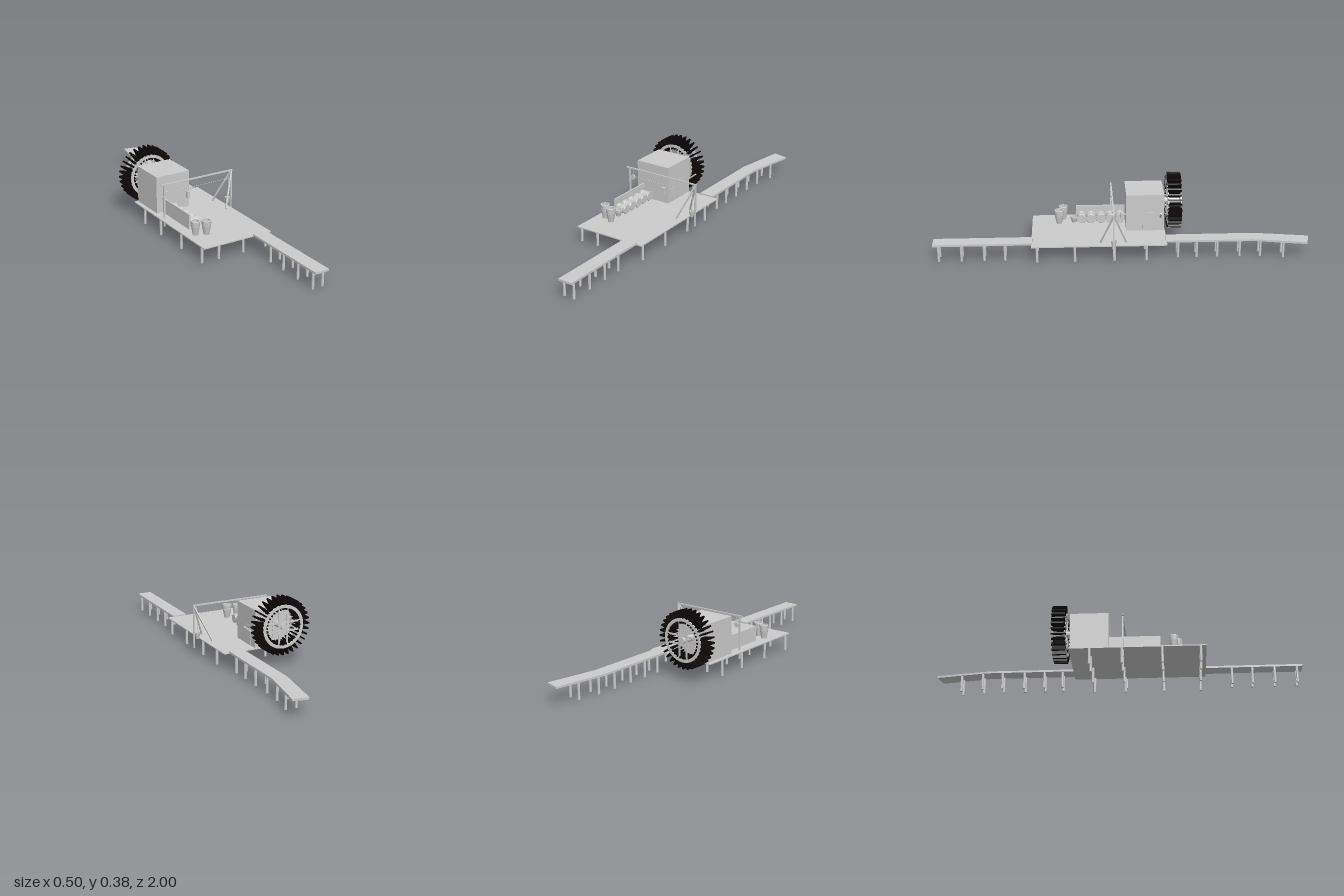
import * as THREE from 'three';

export function createModel() {
  const model = new THREE.Group();
  const grey = new THREE.MeshStandardMaterial({ color: 0xcccccc, flatShading: true, side: THREE.DoubleSide });
  const black = new THREE.MeshStandardMaterial({ color: 0x0c0706 });
  const V = (x, y, z) => new THREE.Vector3(x, y, z);

  function add(name, geo, x = 0, y = 0, z = 0, parent = model, mat = grey) {
    const m = new THREE.Mesh(geo, mat);
    m.name = name;
    m.position.set(x, y, z);
    parent.add(m);
    return m;
  }
  // Box given by its lower and upper corners
  function block(name, x0, x1, y0, y1, z0, z1, parent) {
    return add(name, new THREE.BoxGeometry(x1 - x0, y1 - y0, z1 - z0), (x0 + x1) / 2, (y0 + y1) / 2, (z0 + z1) / 2, parent);
  }
  // Straight round or square bar between two points
  function bar(name, a, b, r, sides = 4, parent = model) {
    const geo = new THREE.CylinderGeometry(r, r, a.distanceTo(b), sides);
    if (sides === 4) geo.rotateY(Math.PI / 4);
    const m = add(name, geo, 0, 0, 0, parent);
    m.position.copy(a).lerp(b, 0.5);
    m.quaternion.setFromUnitVectors(V(0, 1, 0), b.clone().sub(a).normalize());
    return m;
  }

  // Deck and the two walkways, the rear one bending toward +x
  block('deck', -0.205, 0.205, 0.087, 0.093, -0.24, 0.48);
  block('frontWalkway', 0.095, 0.175, 0.09, 0.101, 0.475, 1);
  const bend = new THREE.Shape([[0.095, -0.235], [0.095, -0.71], [0.142, -1], [0.225, -0.98], [0.175, -0.7], [0.175, -0.235]]
    .map(p => new THREE.Vector2(...p)));
  add('rearWalkway', new THREE.ExtrudeGeometry(bend, { depth: 0.011, bevelEnabled: false }).rotateX(Math.PI / 2), 0, 0.101, 0);

  // Supporting piles
  const pile = (x, z) => bar('pile', V(x, 0, z), V(x, 0.09, z), 0.007, 10);
  for (const z of [0.45, 0.25, 0.04, -0.13])
    for (const x of [-0.199, -0.097, 0.053, 0.192]) pile(x, z);
  for (const z of [0.97, 0.85, 0.73, 0.62, -0.3, -0.4, -0.51, -0.63, -0.74, -0.86]) {
    const shift = Math.max(0, -z - 0.71) * 0.17;
    pile(0.105 + shift, z);
    pile(0.163 + shift, z);
  }

  // Mill house with door, lantern and spout
  block('house', -0.183, 0.02, 0.093, 0.3, -0.235, -0.03);
  block('door', 0.02, 0.022, 0.093, 0.2, -0.185, -0.12);
  const lantern = new THREE.Group();
  lantern.name = 'lantern';
  model.add(lantern);
  block('lanternBracket', -0.003, 0.005, 0.18, 0.186, -0.03, -0.008, lantern);
  block('lanternBody', -0.008, 0.01, 0.153, 0.19, -0.016, -0.002, lantern);
  bar('spout', V(0.018, 0.168, -0.215), V(0.075, 0.215, -0.215), 0.006);

  // Water wheel
  const wheel = new THREE.Group();
  wheel.name = 'waterWheel';
  wheel.position.set(-0.095, 0.22, -0.293);
  model.add(wheel);
  const ring = new THREE.Shape().absarc(0, 0, 0.118, 0, Math.PI * 2);
  ring.holes.push(new THREE.Path().absarc(0, 0, 0.101, 0, Math.PI * 2, true));
  const ringGeo = new THREE.ExtrudeGeometry(ring, { depth: 0.006, bevelEnabled: false, curveSegments: 32 });
  for (const z of [-0.037, 0.031]) {
    add('rim', ringGeo, 0, 0, z, wheel);
    for (const o of [-0.023, 0.023]) {
      block('spoke', o - 0.005, o + 0.005, -0.105, 0.105, z + 0.001, z + 0.005, wheel);
      block('spoke', -0.105, 0.105, o - 0.005, o + 0.005, z + 0.001, z + 0.005, wheel);
    }
  }
  const paddleGeo = new THREE.BoxGeometry(0.008, 0.065, 0.073).translate(0, 0.1225, 0);
  for (let i = 0; i < 32; i++)
    add('paddle', paddleGeo, 0, 0, 0, wheel, black).rotation.z = (i / 32) * Math.PI * 2;
  bar('axle', V(0, 0, -0.045), V(0, 0, 0.06), 0.017, 12, wheel);

  // Rack of lying drums in front of the house
  block('rackPanel', -0.146, -0.138, 0.093, 0.176, -0.03, 0.24);
  for (let i = 0; i < 5; i++) {
    const z = -0.001 + i * 0.053, y = 0.121;
    bar('drum', V(-0.138, y, z), V(-0.08, y, z), 0.024, 14);
    for (const x of [-0.125, -0.085])
      add('drumHoop', new THREE.TorusGeometry(0.024, 0.003, 5, 14).rotateY(Math.PI / 2), x, y, z);
  }

  // Open barrels
  const staved = [[0, 0], [0.58, 0], [0.72, 0.25], [0.92, 0.6], [1, 0.97], [0.96, 1], [0.75, 1], [0.68, 0.6], [0, 0.6]];
  function barrel(name, x, y, z, r, h) {
    const geo = new THREE.LatheGeometry(staved.map(([a, b]) => new THREE.Vector2(a * r, b * h)), 12);
    add(name, geo, x, y, z);
  }
  barrel('barrel', -0.151, 0.093, 0.31, 0.025, 0.078);
  barrel('barrel', -0.098, 0.093, 0.332, 0.026, 0.078);
  barrel('smallTub', -0.11, 0.093, 0.25, 0.021, 0.035);

  // Hoist frame
  const gz = 0.045;
  block('hoistBeam', -0.2, 0.249, 0.279, 0.286, gz - 0.004, gz + 0.004);
  block('leftPost', -0.184, -0.176, 0.045, 0.282, gz - 0.004, gz + 0.004);
  block('rightPost', 0.239, 0.247, 0.045, 0.282, gz - 0.004, gz + 0.004);
  for (const s of [-1, 1])
    bar('strut', V(0.243, 0.28, gz), V(0.166, 0.095, gz + s * 0.068), 0.0055);

  // Pulley, ropes and hanging bucket
  bar('pulley', V(-0.16, 0.232, gz - 0.004), V(-0.16, 0.232, gz + 0.004), 0.014, 14);
  bar('pulleyRope', V(-0.16, 0.232, gz), V(-0.16, 0.28, gz), 0.001, 5);
  bar('haulRope', V(-0.15, 0.236, gz), V(0.24, 0.237, gz), 0.001, 5);
  bar('bucketRope', V(0.226, 0.28, gz), V(0.222, 0.125, gz), 0.001, 5);
  add('bucket', new THREE.CylinderGeometry(0.016, 0.009, 0.034, 12, 1, true), 0.222, 0.112, gz);
  add('bucketBase', new THREE.CylinderGeometry(0.009, 0.009, 0.003, 12), 0.222, 0.0965, gz);

  return model;
}
